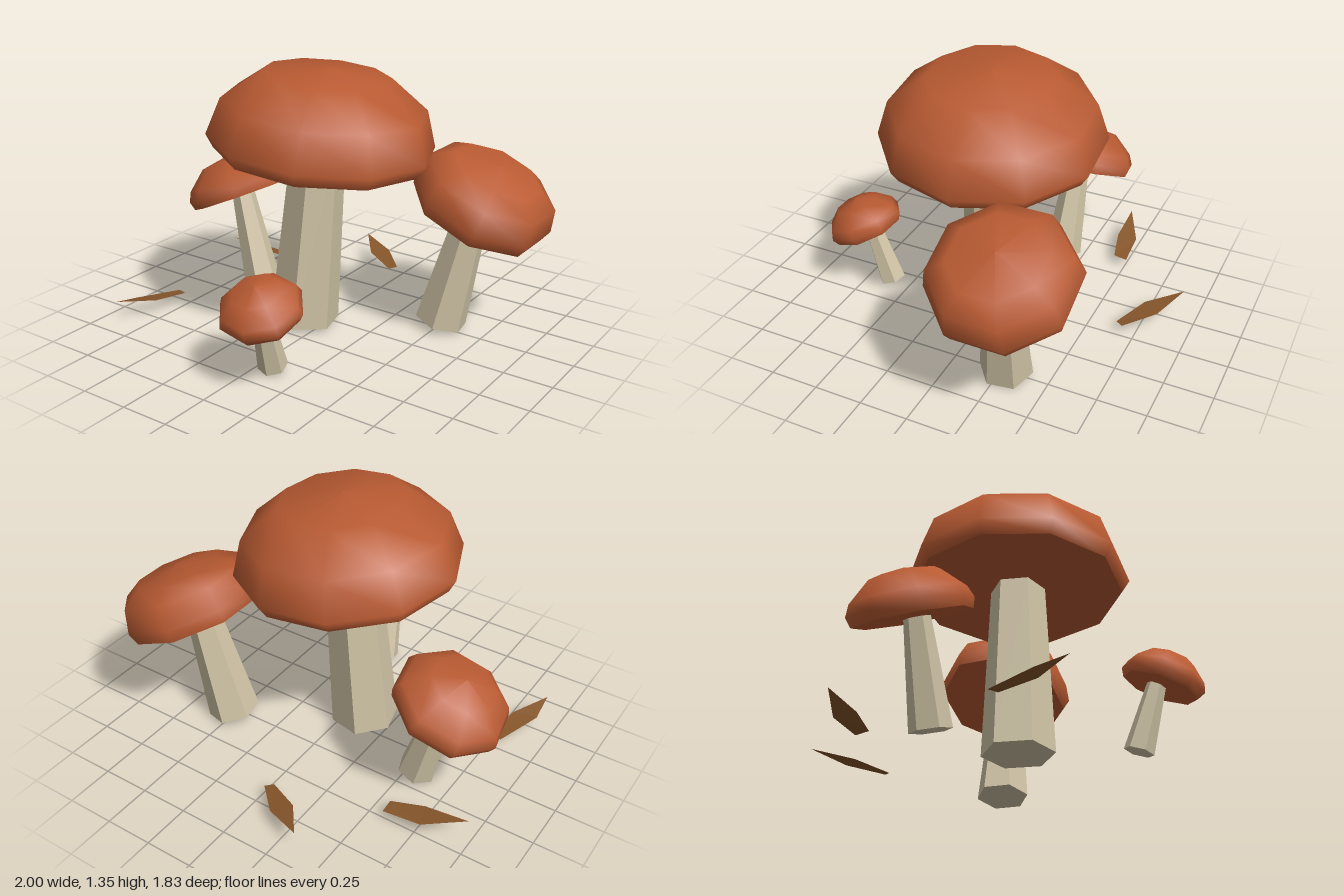
import * as THREE from 'three';

const UP = new THREE.Vector3(0, 1, 0);
const rad = THREE.MathUtils.degToRad;
const paint = (color, extra = {}) => {
  const m = new THREE.MeshStandardMaterial({ color, ...extra });
  return m;
};
const capMat = paint(0xb85a32);
const stemMat = paint(0xcfc3a5, { flatShading: true });
const leafMat = paint(0x85552a, { flatShading: true, side: THREE.DoubleSide });

// Domed cap: smooth upper shell from [radius, height] rings, plus a flat underside with a sharp rim
function cap({ rings, sides, phase, at, axis }) {
  const g = new THREE.Group();
  g.name = 'cap';
  const lathe = (pts, name) => {
    const profile = pts.map(([r, h]) => new THREE.Vector2(r, h));
    const mesh = new THREE.Mesh(new THREE.LatheGeometry(profile, sides, rad(phase)), capMat);
    mesh.name = name;
    g.add(mesh);
  };
  lathe(rings, 'capDome');
  lathe([[0, 0], rings[0]], 'capUnderside');
  g.position.set(...at);
  g.quaternion.setFromUnitVectors(UP, new THREE.Vector3(...axis).normalize());
  return g;
}

// Tapered six-sided stem leaning from its foot to the cap
function stem({ from, to, r0, r1, turn }) {
  const a = new THREE.Vector3(...from), b = new THREE.Vector3(...to);
  const dir = b.clone().sub(a);
  const geo = new THREE.CylinderGeometry(r1, r0, dir.length(), 6, 1, false, rad(turn));
  const mesh = new THREE.Mesh(geo, stemMat);
  mesh.name = 'stem';
  mesh.position.copy(a).add(b).multiplyScalar(0.5);
  mesh.quaternion.setFromUnitVectors(UP, dir.normalize());
  return mesh;
}

// Thin fallen leaf: a fan over a five-point outline
function leaf(points) {
  const geo = new THREE.BufferGeometry();
  geo.setAttribute('position', new THREE.Float32BufferAttribute(points.flat(), 3));
  geo.setIndex([0, 1, 4, 1, 3, 4, 1, 2, 3]);
  geo.computeVertexNormals();
  const mesh = new THREE.Mesh(geo, leafMat);
  mesh.name = 'leaf';
  return mesh;
}

const mushrooms = {
  largeMushroom: {
    cap: {
      rings: [[0.53, 0], [0.57, 0.065], [0.51, 0.25], [0.315, 0.4], [0, 0.43]],
      sides: 10, phase: 22.5, at: [-0.025, 0.925, 0.045], axis: [0.09, 1, -0.03],
    },
    stem: { from: [-0.105, 0.03, 0.08], to: [-0.035, 0.94, 0.05], r0: 0.178, r1: 0.138, turn: 15 },
  },
  leftMushroom: {
    cap: {
      rings: [[0.345, 0], [0.367, 0.065], [0.335, 0.185], [0.23, 0.25], [0, 0.28]],
      sides: 8, phase: 22.5, at: [0.65, 0.64, -0.345], axis: [0.41, 0.91, 0],
    },
    stem: { from: [0.505, 0.035, -0.28], to: [0.645, 0.66, -0.32], r0: 0.135, r1: 0.085, turn: 10 },
  },
  rightMushroom: {
    cap: {
      rings: [[0.28, 0], [0.295, 0.05], [0.27, 0.105], [0.165, 0.2], [0, 0.23]],
      sides: 8, phase: 35, at: [-0.71, 0.515, -0.165], axis: [-0.41, 0.91, -0.02],
    },
    stem: { from: [-0.555, 0.03, -0.14], to: [-0.695, 0.54, -0.155], r0: 0.1, r1: 0.062, turn: 20 },
  },
  smallMushroom: {
    cap: {
      rings: [[0.185, 0], [0.207, 0.04], [0.19, 0.085], [0.115, 0.155], [0, 0.18]],
      sides: 8, phase: 14, at: [0.125, 0.345, 0.715], axis: [0.05, 0.93, 0.38],
    },
    stem: { from: [0.09, 0.03, 0.605], to: [0.105, 0.36, 0.705], r0: 0.073, r1: 0.046, turn: 12 },
  },
};

const leaves = [
  [[-0.35, 0.12, -0.91], [-0.15, 0.085, -0.83], [-0.01, 0.06, -0.69], [-0.04, 0.055, -0.65], [-0.22, 0.085, -0.74]],
  [[-0.98, 0.12, -0.4], [-0.78, 0.07, -0.5], [-0.58, 0.055, -0.51], [-0.58, 0.065, -0.44], [-0.75, 0.09, -0.4]],
  [[-0.9, 0.115, 0.65], [-0.91, 0.08, 0.5], [-0.82, 0.06, 0.26], [-0.76, 0.065, 0.28], [-0.79, 0.085, 0.47]],
];

export function createModel() {
  const model = new THREE.Group();
  model.name = 'mushroomCluster';
  for (const [name, m] of Object.entries(mushrooms)) {
    const g = new THREE.Group();
    g.name = name;
    g.add(stem(m.stem), cap(m.cap));
    model.add(g);
  }
  leaves.forEach((points) => model.add(leaf(points)));
  return model;
}
